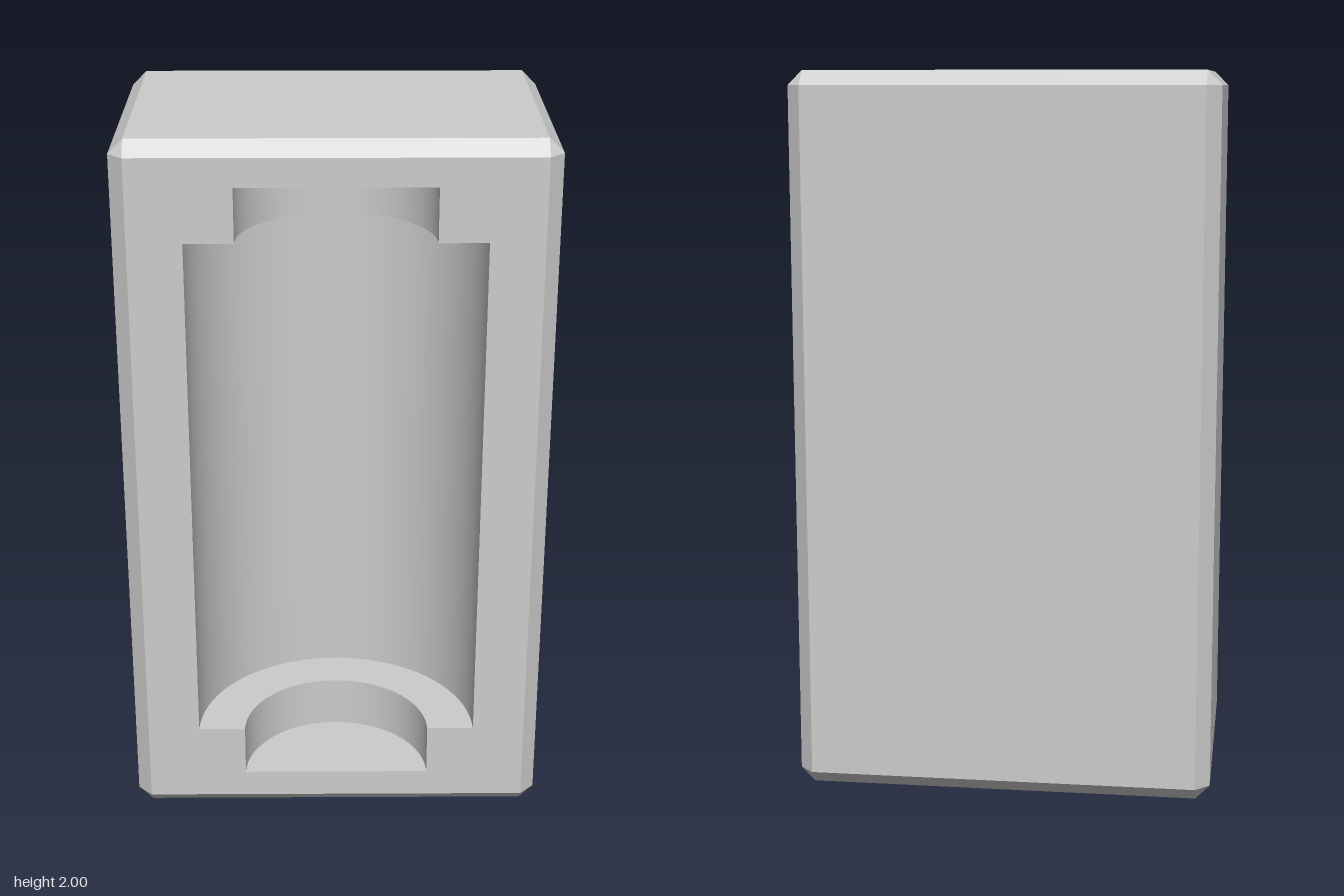
import * as THREE from 'three';
import { toCreasedNormals } from 'three/addons/utils/BufferGeometryUtils.js';

const X = 0.581, Y = 1, Z = 0.406, C = 0.04; // half sizes and chamfer
const R1 = 0.395, H1 = 0.734;                // wide bore
const R2 = 0.263, H2 = 0.882;                // narrow end bores

const x = X - C, y = Y - C;
const RECT = [[x, -y], [x, y], [-x, y], [-x, -y]];

// Chamfered block, lofted back to front; the front face is left open
function shellGeometry() {
  const flat = RECT.flatMap((p) => [p, p]); // corners doubled to match the octagon
  const octagon = [[x, -Y], [X, -y], [X, y], [x, Y], [-x, Y], [-X, y], [-X, -y], [-x, -Y]];
  const layers = [[flat, -Z], [octagon, -Z + C], [octagon, Z - C], [flat, Z]]
    .map(([ring, z]) => ring.map(([px, py]) => new THREE.Vector3(px, py, z)));
  const pos = [];
  const tri = (a, b, c) => {
    if (a.equals(b) || b.equals(c) || c.equals(a)) return;
    for (const v of [a, b, c]) pos.push(v.x, v.y, v.z);
  };
  for (let i = 0; i < 3; i++) {
    for (let j = 0; j < 8; j++) {
      const k = (j + 1) % 8, lo = layers[i], hi = layers[i + 1];
      tri(lo[j], lo[k], hi[k]);
      tri(lo[j], hi[k], hi[j]);
    }
  }
  // back face
  const b = layers[0];
  tri(b[0], b[6], b[4]);
  tri(b[0], b[4], b[2]);
  const geo = new THREE.BufferGeometry();
  geo.setAttribute('position', new THREE.Float32BufferAttribute(pos, 3));
  geo.computeVertexNormals();
  return geo;
}

// Front face with the stepped opening cut out
function faceGeometry() {
  const points = (list) => list.map(([px, py]) => new THREE.Vector2(px, py));
  const shape = new THREE.Shape(points(RECT));
  shape.holes.push(new THREE.Path(points([
    [-R2, -H2], [-R2, -H1], [-R1, -H1], [-R1, H1], [-R2, H1], [-R2, H2],
    [R2, H2], [R2, H1], [R1, H1], [R1, -H1], [R2, -H1], [R2, -H2],
  ])));
  return new THREE.ShapeGeometry(shape);
}

// Half-round stepped cavity; the profile runs downwards so it faces inwards
function cavityGeometry() {
  const profile = [[0, H2], [R2, H2], [R2, H1], [R1, H1], [R1, -H1], [R2, -H1], [R2, -H2], [0, -H2]]
    .map(([r, h]) => new THREE.Vector2(r, h));
  return toCreasedNormals(new THREE.LatheGeometry(profile, 48, Math.PI / 2, Math.PI), Math.PI / 6);
}

export function createModel() {
  const group = new THREE.Group();
  group.name = 'hollowedBlock';
  const material = new THREE.MeshStandardMaterial({ color: 0xcccccc });
  const add = (name, geometry, z = 0) => {
    const mesh = new THREE.Mesh(geometry, material);
    mesh.name = name;
    mesh.position.set(0, Y, z);
    group.add(mesh);
  };
  add('blockShell', shellGeometry());
  add('frontFace', faceGeometry(), Z);
  add('steppedCavity', cavityGeometry(), Z);
  return group;
}
